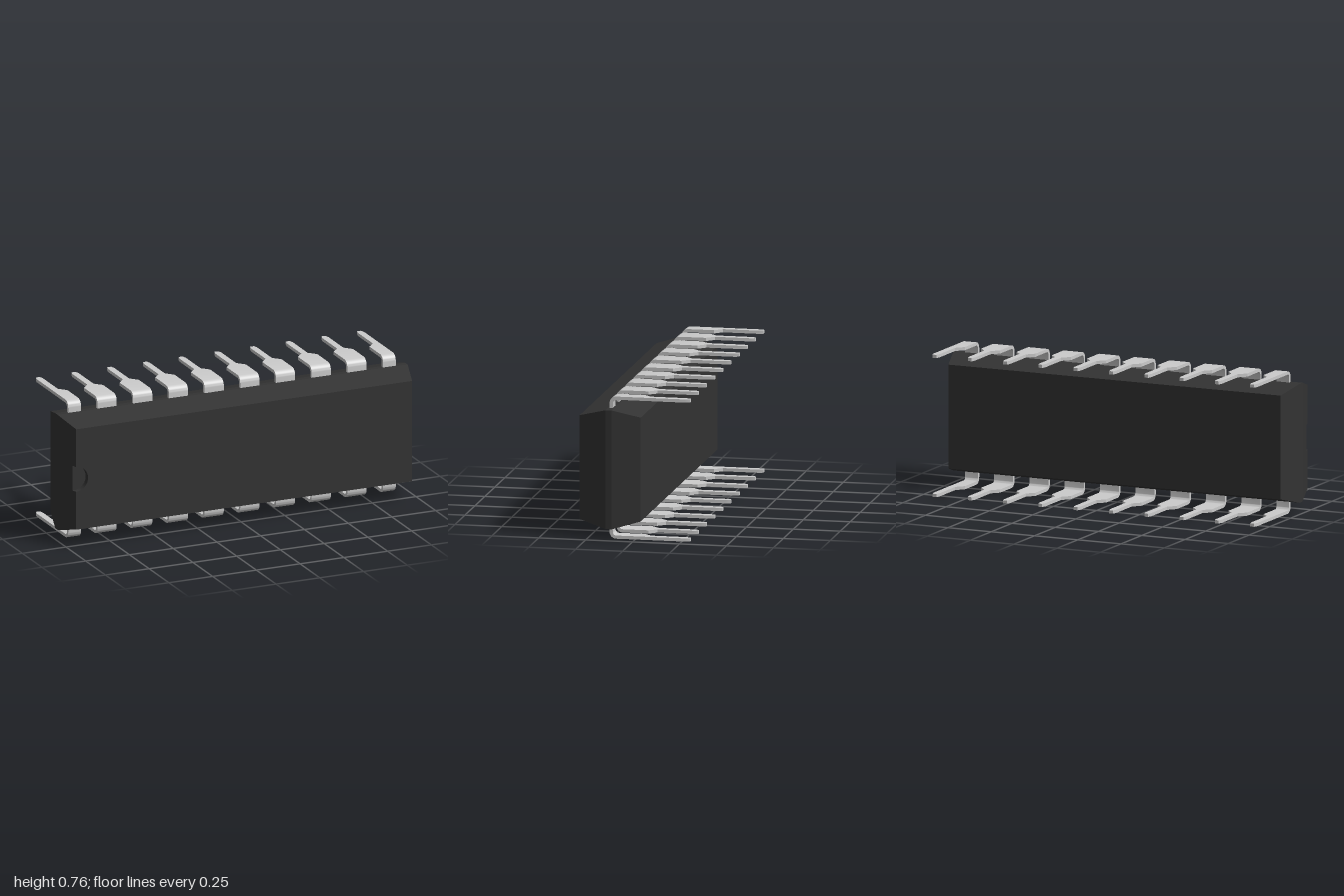
import * as THREE from 'three';
import { toCreasedNormals } from 'three/addons/utils/BufferGeometryUtils.js';

const MID_Y = 0.378, BACK = -0.035, FRONT = 0.29, NOTCH_FLOOR = 0.26;
const SEAM_BACK = 0.112, SEAM_FRONT = 0.144;
const DRAFT = 0.04; // how far the sides lean in towards front and back

// Half width and half height of the case at depth z
function halfSize(z) {
  let inset = 0;
  if (z > SEAM_FRONT) inset = DRAFT * (z - SEAM_FRONT) / (FRONT - SEAM_FRONT);
  if (z < SEAM_BACK) inset = DRAFT * (SEAM_BACK - z) / (SEAM_BACK - BACK);
  return [1 - inset, 0.316 - inset];
}

function caseGeometry() {
  const levels = [BACK, SEAM_BACK, SEAM_FRONT, NOTCH_FLOOR];
  const geo = new THREE.BoxGeometry(2, 2, 1, 1, 1, 3);
  const pos = geo.attributes.position;
  for (let i = 0; i < pos.count; i++) {
    const z = levels[Math.round((pos.getZ(i) + 0.5) * 3)];
    const [hx, hy] = halfSize(z);
    pos.setXYZ(i, Math.sign(pos.getX(i)) * hx, Math.sign(pos.getY(i)) * hy, z);
  }
  return toCreasedNormals(geo, 0.1);
}

// Front slab with the half-round orientation notch in its -x edge
function frontSlabGeometry() {
  const [hx, hy] = halfSize(FRONT), r = 0.068;
  const shape = new THREE.Shape();
  shape.moveTo(-hx, -hy);
  shape.lineTo(hx, -hy);
  shape.lineTo(hx, hy);
  shape.lineTo(-hx, hy);
  shape.lineTo(-hx, r);
  shape.absarc(-hx, 0, r, Math.PI / 2, -Math.PI / 2, true);
  shape.closePath();
  const geo = new THREE.ExtrudeGeometry(shape, {
    depth: FRONT - NOTCH_FLOOR, bevelEnabled: false, curveSegments: 24,
  });
  geo.translate(0, 0, NOTCH_FLOOR);
  // Carry the draft of the sides through the outer edges
  const pos = geo.attributes.position;
  for (let i = 0; i < pos.count; i++) {
    const x = pos.getX(i), y = pos.getY(i);
    const [nx, ny] = halfSize(pos.getZ(i));
    if (Math.abs(x) > hx - 0.001) pos.setX(i, Math.sign(x) * nx);
    if (Math.abs(y) > hy - 0.001) pos.setY(i, Math.sign(y) * ny);
  }
  return toCreasedNormals(geo, 0.2);
}

// Bent strip: down out of the case, round the bend, then back to the pin tip.
// left and right are the half widths of the shoulder on each side.
function leadGeometry(left, right) {
  const half = 0.0085, pin = 0.018, tip = 0.011, bendR = 0.0265;
  const bendZ = 0.101, bendY = half + bendR;
  const stations = []; // [y, z, angle of outer side, left, right]
  stations.push([0.09, bendZ + bendR, 0, left, right]);
  const steps = 8;
  for (let i = 0; i <= steps; i++) {
    const a = (i / steps) * Math.PI / 2;
    stations.push([bendY - bendR * Math.sin(a), bendZ + bendR * Math.cos(a), a, left, right]);
  }
  const flat = (z, l, r) => stations.push([half, z, Math.PI / 2, l, r]);
  flat(-0.037, left, right);
  flat(-0.077, pin, pin);
  flat(-0.265, pin, pin);
  flat(-0.291, tip, tip);

  const verts = [], index = [];
  for (const [y, z, a, l, r] of stations) {
    const dy = -Math.sin(a) * half, dz = Math.cos(a) * half;
    verts.push(-l, y + dy, z + dz, r, y + dy, z + dz, r, y - dy, z - dz, -l, y - dy, z - dz);
  }
  for (let i = 0; i < stations.length - 1; i++) {
    for (let j = 0; j < 4; j++) {
      const a = i * 4 + j, b = i * 4 + (j + 1) % 4;
      index.push(a, a + 4, b + 4, a, b + 4, b);
    }
  }
  const e = (stations.length - 1) * 4;
  index.push(e, e + 3, e + 2, e, e + 2, e + 1);
  const geo = new THREE.BufferGeometry();
  geo.setAttribute('position', new THREE.Float32BufferAttribute(verts, 3));
  geo.setIndex(index);
  return toCreasedNormals(geo, 0.4);
}

export function createModel() {
  const model = new THREE.Group();
  model.name = 'chipPackage';
  const dark = new THREE.MeshStandardMaterial({ color: 0x333333 });
  const metal = new THREE.MeshStandardMaterial({ color: 0xcccccc });

  // Case
  const body = new THREE.Group();
  body.name = 'case';
  body.position.y = MID_Y;
  const block = new THREE.Mesh(caseGeometry(), dark);
  block.name = 'caseBlock';
  const slab = new THREE.Mesh(frontSlabGeometry(), dark);
  slab.name = 'notchedFront';
  body.add(block, slab);
  model.add(body);

  // Two rows of ten leads; the end leads have a shoulder on the inner side only
  const wide = 0.055, narrow = 0.018, count = 10, pitch = 0.204;
  const middleLead = leadGeometry(wide, wide);
  const firstLead = leadGeometry(narrow, wide);
  const lastLead = leadGeometry(wide, narrow);
  for (const side of ['lower', 'upper']) {
    const row = new THREE.Group();
    row.name = side + 'Leads';
    for (let i = 0; i < count; i++) {
      const geo = i === 0 ? firstLead : i === count - 1 ? lastLead : middleLead;
      const lead = new THREE.Mesh(geo, metal);
      lead.name = 'lead';
      lead.position.x = (i - (count - 1) / 2) * pitch;
      row.add(lead);
    }
    // Half a turn about the case centre line gives the upper row
    if (side === 'upper') {
      row.rotation.z = Math.PI;
      row.position.y = 2 * MID_Y;
    }
    model.add(row);
  }
  return model;
}
